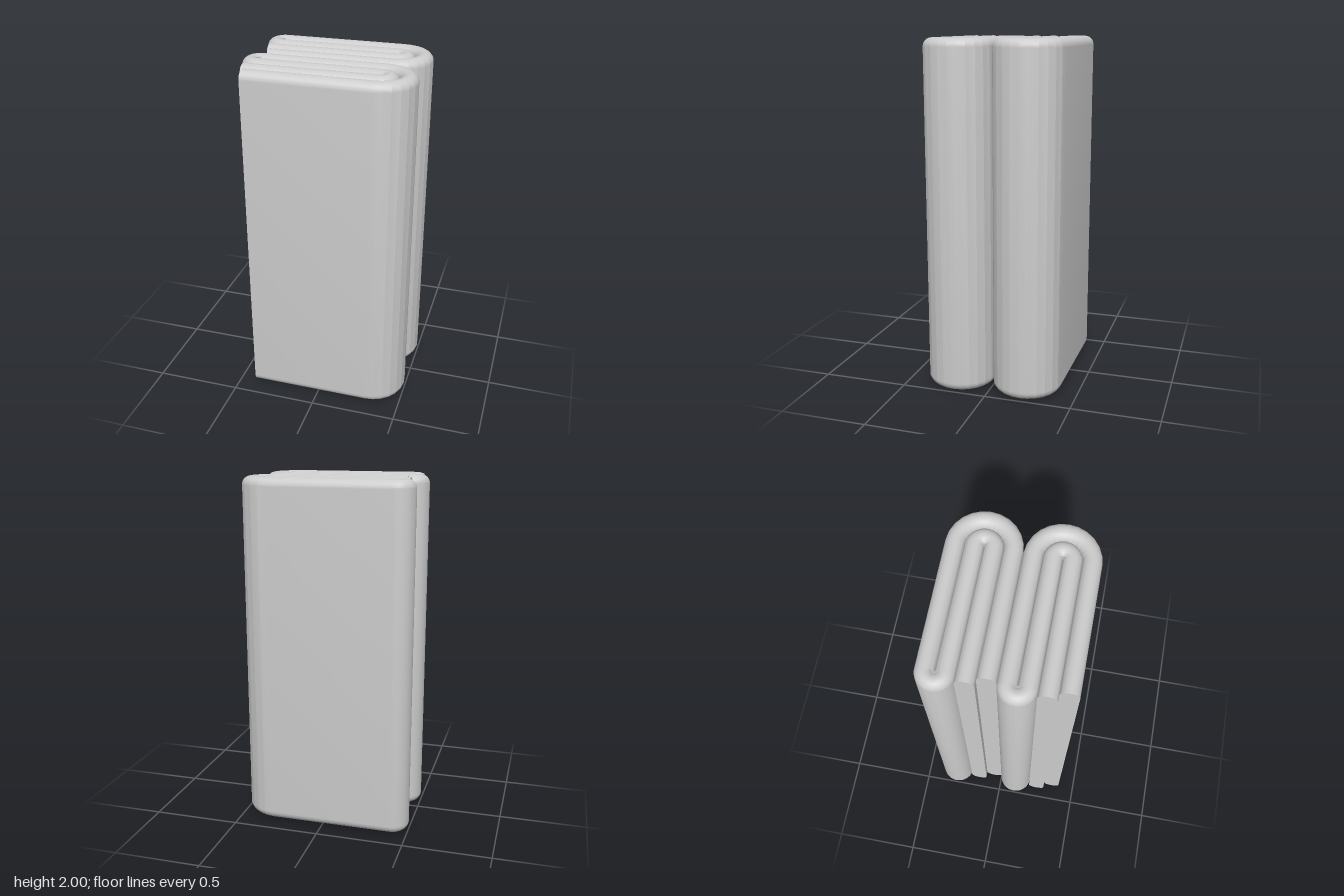
import * as THREE from 'three';
import { toCreasedNormals } from 'three/addons/utils/BufferGeometryUtils.js';

const HALF = 0.05, HEIGHT = 2, ROUND = 24;

// Upright section of the cloth as [offset, y]: flat sides, half-round hems.
function clothSection() {
  const points = [];
  for (let i = 0; i <= ROUND; i++) {
    const a = (i / ROUND) * Math.PI;
    points.push([HALF * Math.cos(a), HEIGHT - HALF + HALF * Math.sin(a)]);
  }
  for (let i = 0; i <= ROUND; i++) {
    const a = Math.PI + (i / ROUND) * Math.PI;
    points.push([HALF * Math.cos(a), HALF + HALF * Math.sin(a)]);
  }
  return points;
}

// Sweeps the section through straight layers and half-turn bends.
function foldedCloth() {
  const section = clothSection();
  const rings = [];
  const endRing = (x, z, side) =>
    rings.push(section.map(([d, y]) => [x, y, z + side * d]));

  // side: +1 if the section's positive offset faces away from the bend centre
  const bend = (cx, cz, r, from, to, n, side, minRadius) => {
    const ring = (a, min) => rings.push(section.map(([d, y]) => {
      const radius = Math.max(r + side * d, min);
      return [cx + radius * Math.cos(a), y, cz + radius * Math.sin(a)];
    }));
    ring(from, 0);
    for (let i = 0; i <= n; i++) ring(from + (to - from) * i / n, minRadius);
    ring(to, 0);
  };

  const q = Math.PI / 2;
  endRing(-0.44, 0.05, 1);
  bend(0.3, 0, 0.05, q, -q, 12, 1, 0.008);          // inner right bend
  bend(-0.4, -0.1, 0.05, q, 3 * q, 24, -1, 0.02);   // left bend
  bend(0.3, 0, 0.15, -q, q, 12, -1, 0);             // outer right bend
  endRing(-0.405, 0.15, -1);

  const m = section.length, last = (rings.length - 1) * m, index = [];
  for (let i = 0; i < rings.length - 1; i++) {
    for (let k = 0; k < m; k++) {
      const a = i * m + k, b = i * m + (k + 1) % m;
      index.push(a, a + m, b, b, a + m, b + m);
    }
  }
  // Cut ends
  for (let k = 1; k < m - 1; k++) {
    index.push(0, k, k + 1, last, last + k + 1, last + k);
  }

  const geometry = new THREE.BufferGeometry();
  geometry.setAttribute('position', new THREE.Float32BufferAttribute(rings.flat(2), 3));
  geometry.setIndex(index);
  return toCreasedNormals(geometry, 0.2);
}

export function createModel() {
  const group = new THREE.Group();
  group.name = 'foldedCloths';
  const material = new THREE.MeshStandardMaterial({ color: 0xcccccc, side: THREE.DoubleSide });
  const geometry = foldedCloth();
  for (const [name, z] of [['frontCloth', 0.2], ['backCloth', -0.2]]) {
    const cloth = new THREE.Mesh(geometry, material);
    cloth.name = name;
    cloth.position.z = z;
    group.add(cloth);
  }
  return group;
}
